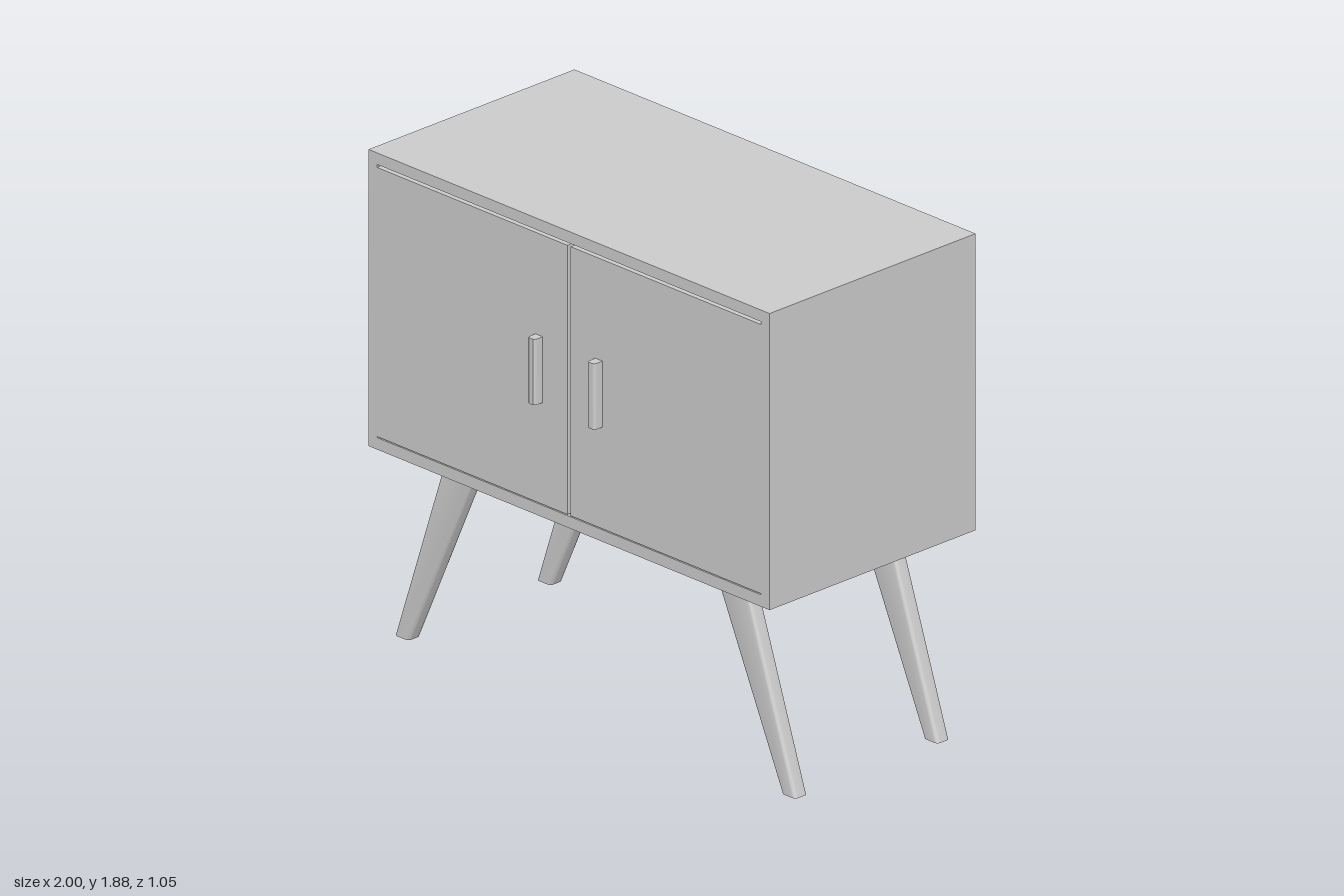
import * as THREE from 'three';
import { toCreasedNormals } from 'three/addons/utils/BufferGeometryUtils.js';

const material = new THREE.MeshStandardMaterial({ color: 0xcccccc });

function add(parent, name, geometry) {
  const mesh = new THREE.Mesh(geometry, material);
  mesh.name = name;
  parent.add(mesh);
  return mesh;
}

// Box given by its minimum and maximum corners
function box(parent, name, [x0, y0, z0], [x1, y1, z1]) {
  const mesh = add(parent, name, new THREE.BoxGeometry(x1 - x0, y1 - y0, z1 - z0));
  mesh.position.set((x0 + x1) / 2, (y0 + y1) / 2, (z0 + z1) / 2);
  return mesh;
}

function rectangle(PathType, x0, y0, x1, y1) {
  return new PathType([[x0, y0], [x1, y0], [x1, y1], [x0, y1]].map(p => new THREE.Vector2(...p)));
}

// Tapered leg with a mitred arm: rounded sections at foot, knee and arm end
function legGeometry() {
  const stations = [ // outer x, y and inner x, y
    [1.0, 0, 0.93, 0],
    [0.745, 0.755, 0.62, 0.683],
    [0.33, 0.755, 0.33, 0.718],
  ];
  const halfDepth = 0.03, r = 0.014, steps = 4;
  const positions = [], index = [];
  for (const [ox, oy, ix, iy] of stations) {
    const hx = (ox - ix) / 2, hy = (oy - iy) / 2, w = Math.hypot(hx, hy);
    for (let corner = 0; corner < 4; corner++) {
      const sx = corner === 0 || corner === 3 ? 1 : -1;
      const sz = corner < 2 ? 1 : -1;
      for (let s = 0; s <= steps; s++) {
        const a = (corner + s / steps) * Math.PI / 2;
        const p = (sx * (w - r) + r * Math.cos(a)) / w;
        const z = -(sz * (halfDepth - r) + r * Math.sin(a));
        positions.push((ox + ix) / 2 + hx * p, (oy + iy) / 2 + hy * p, z);
      }
    }
  }
  const n = 4 * (steps + 1), last = (stations.length - 1) * n;
  for (let k = 0; k < last; k += n) {
    for (let i = 0; i < n; i++) {
      const a = k + i, b = k + (i + 1) % n;
      index.push(a, b, b + n, a, b + n, a + n);
    }
  }
  for (let i = 1; i < n - 1; i++) {
    index.push(0, i + 1, i, last, last + i, last + i + 1);
  }
  const geometry = new THREE.BufferGeometry();
  geometry.setAttribute('position', new THREE.Float32BufferAttribute(positions, 3));
  geometry.setIndex(index);
  return toCreasedNormals(geometry, 0.5);
}

// Upright bar handle with rounded front edges
function handleGeometry() {
  const w = 0.018, d = 0.04, r = 0.012;
  const shape = new THREE.Shape();
  shape.moveTo(-w, 0);
  shape.lineTo(w, 0);
  shape.lineTo(w, -d + r);
  shape.absarc(w - r, -d + r, r, 0, -Math.PI / 2, true);
  shape.absarc(-w + r, -d + r, r, -Math.PI / 2, -Math.PI, true);
  shape.closePath();
  const geometry = new THREE.ExtrudeGeometry(shape, { depth: 0.25, bevelEnabled: false, curveSegments: 6 });
  geometry.rotateX(-Math.PI / 2);
  return toCreasedNormals(geometry, 0.6);
}

export function createModel() {
  const model = new THREE.Group();
  model.name = 'cabinet';

  // Open carcass, back panel and inner shelf
  const frame = rectangle(THREE.Shape, -1, 0.755, 1, 1.88);
  frame.holes.push(rectangle(THREE.Path, -0.957, 0.8, 0.957, 1.836));
  const carcass = add(model, 'carcass', new THREE.ExtrudeGeometry(frame, { depth: 1, bevelEnabled: false }));
  carcass.position.z = -0.515;
  box(model, 'backPanel', [-0.988, 0.767, -0.525], [0.988, 1.868, -0.515]);
  box(model, 'shelf', [-0.957, 1.295, -0.515], [0.957, 1.338, 0.42]);

  // Pair of flush doors with narrow gaps, and their handles
  const handle = handleGeometry();
  for (const [side, s] of [['left', 1], ['right', -1]]) {
    const xs = [0.008 * s, 0.957 * s].sort((a, b) => a - b);
    box(model, side + 'Door', [xs[0], 0.804, 0.442], [xs[1], 1.825, 0.485]);
    add(model, side + 'Handle', handle).position.set(0.149 * s, 1.19, 0.485);
  }

  // Four splayed legs, turned half round for the right side
  const leg = legGeometry();
  for (const [end, z] of [['front', 0.33], ['back', -0.36]]) {
    add(model, end + 'LeftLeg', leg).position.z = z;
    const right = add(model, end + 'RightLeg', leg);
    right.position.z = z;
    right.rotation.y = Math.PI;
  }
  return model;
}
